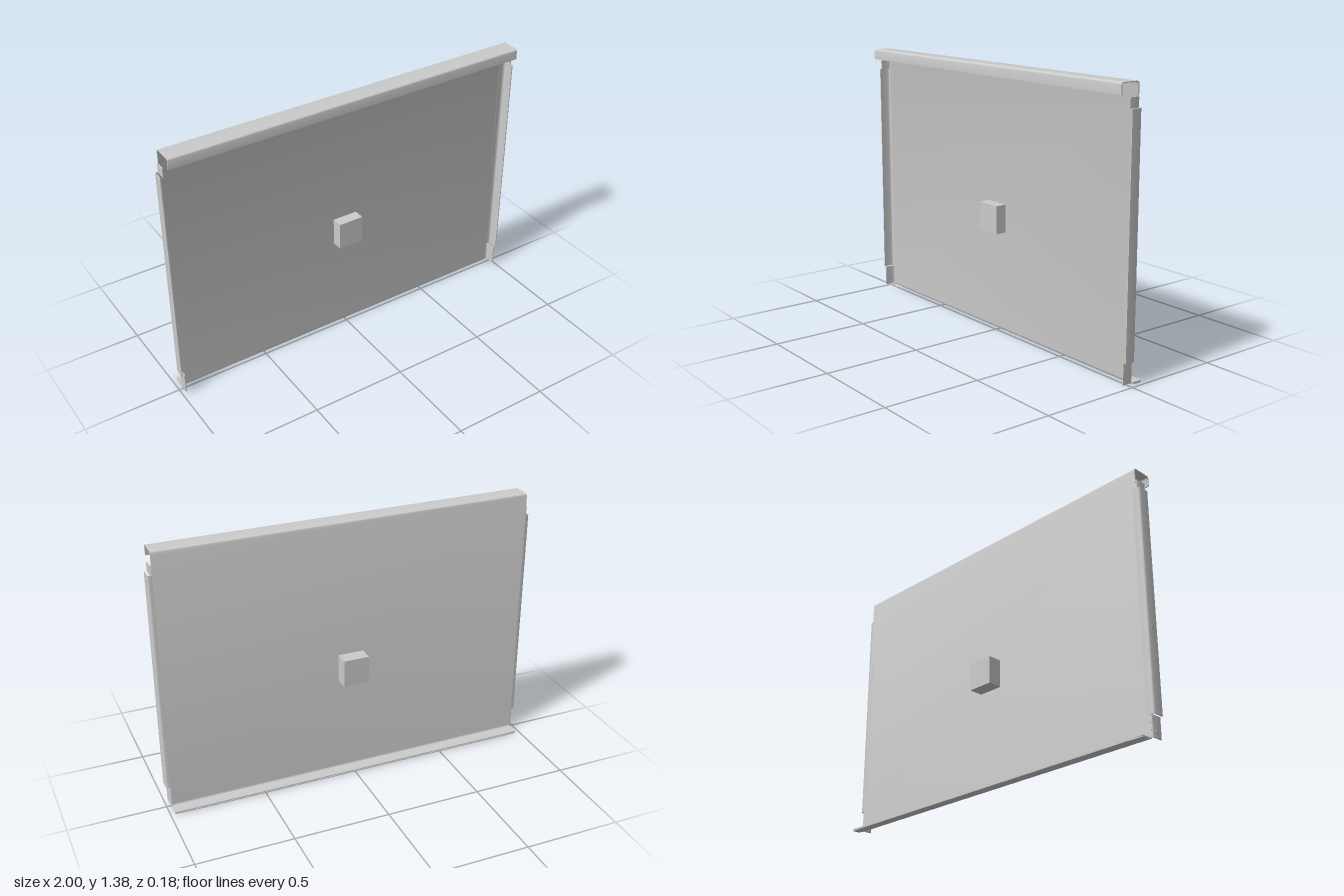
import * as THREE from 'three';
import { toCreasedNormals } from 'three/addons/utils/BufferGeometryUtils.js';

const material = new THREE.MeshStandardMaterial({ color: 0xcccccc, side: THREE.DoubleSide });
const T = 0.005; // sheet thickness

// Bent sheet: a centre line with rounded corners, thickened and extruded
function bentSheet(corners, radius, length) {
  const pts = corners.map(([x, y]) => new THREE.Vector2(x, y));
  const path = new THREE.Path();
  path.moveTo(pts[0].x, pts[0].y);
  for (let i = 1; i < pts.length - 1; i++) {
    const p = pts[i];
    const a = pts[i - 1].clone().sub(p).setLength(radius).add(p);
    const b = pts[i + 1].clone().sub(p).setLength(radius).add(p);
    path.lineTo(a.x, a.y);
    path.quadraticCurveTo(p.x, p.y, b.x, b.y);
  }
  const end = pts[pts.length - 1];
  path.lineTo(end.x, end.y);

  const line = path.getPoints(6);
  const side = (sign) => line.map((p, i) => {
    const before = line[Math.max(i - 1, 0)];
    const after = line[Math.min(i + 1, line.length - 1)];
    const d = after.clone().sub(before).normalize();
    return new THREE.Vector2(p.x - d.y * sign * T / 2, p.y + d.x * sign * T / 2);
  });
  const shape = new THREE.Shape([...side(1), ...side(-1).reverse()]);
  const geo = new THREE.ExtrudeGeometry(shape, { depth: length, bevelEnabled: false });
  return toCreasedNormals(geo, 0.6);
}

export function createModel() {
  const group = new THREE.Group();
  const add = (name, geo) => {
    const mesh = new THREE.Mesh(geo, material);
    mesh.name = name;
    group.add(mesh);
    return mesh;
  };

  // Main sheet: bottom flange to the back, upright face, hooked top to the front
  const width = 1.95;
  const main = bentSheet(
    [[-0.079, 0.008], [-0.0125, 0.008], [-0.0125, 1.3825], [0.0885, 1.3825], [0.0885, 1.33]],
    0.012, width);
  main.rotateY(-Math.PI / 2).translate(width / 2, 0, 0);
  add('panelSheet', main);

  // Folded hem under the bottom flange, with clipped corners
  const hem = new THREE.Shape([
    [-0.975, 0.035], [0.975, 0.035], [0.975, 0.077], [0.9, 0.082], [-0.9, 0.082], [-0.975, 0.077],
  ].map(([x, y]) => new THREE.Vector2(x, y)));
  const hemGeo = new THREE.ExtrudeGeometry(hem, { depth: T, bevelEnabled: false });
  add('bottomHem', hemGeo.rotateX(-Math.PI / 2));

  // Side flanges: a wide middle run with stepped-in tabs at both ends
  const flanges = [
    ['sideFlange', 0.995, 0.12, 1.27],
    ['lowerTab', 0.981, 0.015, 0.12],
    ['upperTab', 0.981, 1.27, 1.318],
  ];
  for (const s of [-1, 1]) {
    for (const [name, x, y0, y1] of flanges) {
      const geo = bentSheet(
        [[s * 0.955, 0.0125], [s * x, 0.0125], [s * x, -0.044]], 0.012, y1 - y0);
      geo.rotateX(-Math.PI / 2).translate(0, y0, 0);
      add((s > 0 ? 'left' : 'right') + name[0].toUpperCase() + name.slice(1), geo);
    }
  }

  // Small studs on one side
  for (const [x, y] of [[-0.996, 0.54], [-0.982, 0.045]]) {
    const geo = new THREE.CylinderGeometry(0.009, 0.009, 0.008, 16);
    add('stud', geo.rotateZ(Math.PI / 2).translate(x, y, 0.015));
  }

  // Block passing through the sheet
  const block = add('centreBlock', new THREE.BoxGeometry(0.135, 0.145, 0.138));
  block.position.set(-0.002, 0.603, -0.021);

  return group;
}
